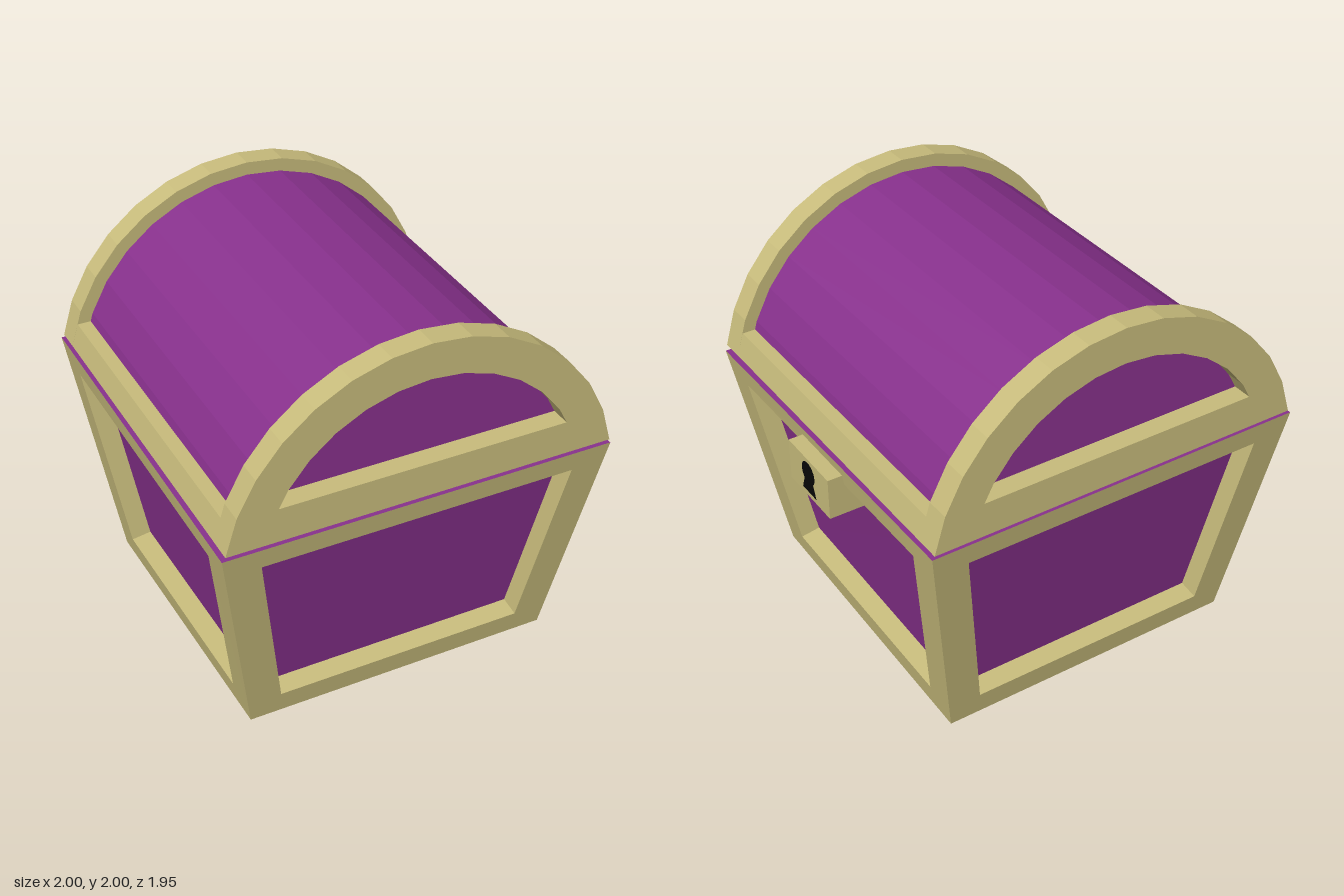
import * as THREE from 'three';

const gold = new THREE.MeshStandardMaterial({ color: 0xc8bc7c, flatShading: true });
const purple = new THREE.MeshStandardMaterial({ color: 0x88318d, flatShading: true });
const black = new THREE.MeshStandardMaterial({ color: 0x080808 });

const STEP = Math.PI / 16;   // lid arc is part of a 32-sided circle
const ARC_Y = -0.189;        // arc centre, below the lid's underside
const HALF_Z = 0.97;

function add(parent, name, geometry, material, x = 0, y = 0, z = 0) {
  const mesh = new THREE.Mesh(geometry, material);
  mesh.name = name;
  mesh.position.set(x, y, z);
  parent.add(mesh);
  return mesh;
}

// Arc points from right to left, cut off flat at height "cut"
function arcPoints(radius, cut) {
  const at = (i) => new THREE.Vector2(radius * Math.sin(i * STEP), ARC_Y + radius * Math.cos(i * STEP));
  const half = [];
  let i = 0;
  while (at(i).y > cut + 0.002) half.push(at(i++));
  const a = at(i - 1), b = at(i);
  half.push(a.clone().lerp(b, (a.y - cut) / (a.y - b.y)));
  const mirrored = half.slice(1).map((p) => new THREE.Vector2(-p.x, p.y));
  return [...half.reverse(), ...mirrored];
}

function extrude(shape, depth) {
  return new THREE.ExtrudeGeometry(shape, { depth, bevelEnabled: false });
}

function quads(list) {
  const pos = [];
  for (const [a, b, c, d] of list) for (const p of [a, b, c, a, c, d]) pos.push(p.x, p.y, p.z);
  const g = new THREE.BufferGeometry();
  g.setAttribute('position', new THREE.Float32BufferAttribute(pos, 3));
  g.computeVertexNormals();
  return g;
}

// One flared wall: border, reveals and a recessed panel. Corners run
// bottom left, bottom right, top right, top left as seen from outside.
function addWall(parent, name, [bl, br, tr, tl]) {
  const at = (u, v) => bl.clone().lerp(br, u).lerp(tl.clone().lerp(tr, u), v);
  const outer = [bl, br, tr, tl];
  const inner = [at(0.105, 0.1), at(0.895, 0.1), at(0.91, 0.907), at(0.09, 0.907)];
  const normal = br.clone().sub(bl).cross(tl.clone().sub(bl)).normalize();
  const deep = inner.map((p) => p.clone().addScaledVector(normal, -0.1));
  const faces = [];
  for (let i = 0; i < 4; i++) {
    const j = (i + 1) % 4;
    faces.push([outer[i], outer[j], inner[j], inner[i]], [inner[i], inner[j], deep[j], deep[i]]);
  }
  add(parent, name + 'Frame', quads(faces), gold);
  add(parent, name + 'Panel', quads([deep]), purple);
}

function createBase() {
  const base = new THREE.Group();
  base.name = 'base';
  // Corners in order: front left of picture, front right, back right, back left
  const ring = (half, zf, zb, yf, yb) => [
    new THREE.Vector3(-half, yf, zf), new THREE.Vector3(half, yf, zf),
    new THREE.Vector3(half, yb, zb), new THREE.Vector3(-half, yb, zb),
  ];
  const low = ring(0.777, 0.772, -0.785, 0.045, 0);
  const high = ring(0.965, 0.962, -0.972, 1.17, 1.21);
  ['front', 'left', 'back', 'right'].forEach((name, i) => {
    const j = (i + 1) % 4;
    addWall(base, name, [low[i], low[j], high[j], high[i]]);
  });
  add(base, 'baseTop', quads([high]), purple);
  add(base, 'baseBottom', quads([[...low].reverse()]), purple);
  return base;
}

function createLid() {
  const lid = new THREE.Group();
  lid.name = 'lid';
  // Arched end frames
  const arch = new THREE.Shape(arcPoints(0.97, 0));
  arch.holes.push(new THREE.Path(arcPoints(0.795, 0.17).reverse()));
  const archGeometry = extrude(arch, 0.12);
  add(lid, 'frontArch', archGeometry, gold, 0, 0, HALF_Z - 0.12);
  add(lid, 'backArch', archGeometry, gold, 0, 0, -HALF_Z);
  // Inner dome, its ends forming the recessed end panels
  add(lid, 'dome', extrude(new THREE.Shape(arcPoints(0.905, 0.01)), 1.74), purple, 0, 0, -0.87);
  // Lower side bars
  for (const s of [1, -1]) {
    const bar = new THREE.Shape([[0.951, 0], [0.916, 0.115], [0.78, 0.115], [0.78, 0]]
      .map(([x, y]) => new THREE.Vector2(s * x, y)));
    add(lid, s > 0 ? 'leftBar' : 'rightBar', extrude(bar, 1.72), gold, 0, 0, -0.86);
  }
  // Underside
  const under = add(lid, 'lidUnderside', new THREE.PlaneGeometry(1.9, 2 * HALF_Z), purple, 0, -0.001, 0);
  under.rotation.x = Math.PI / 2;
  lid.position.y = 1.21;
  lid.rotation.x = 0.0145;
  return lid;
}

function createLock() {
  const lock = new THREE.Group();
  lock.name = 'lock';
  add(lock, 'lockPlate', new THREE.BoxGeometry(0.26, 0.215, 0.37), gold, -0.13, 0, 0);
  // Keyhole: round top with a flared slot
  const slot = new THREE.Shape([[-0.065, -0.08], [0.065, -0.08], [0.028, 0.02], [-0.028, 0.02]]
    .map(([x, y]) => new THREE.Vector2(x, y)));
  const hole = add(lock, 'keyholeSlot', new THREE.ShapeGeometry(slot), black, 0.002, 0, 0);
  const round = add(lock, 'keyholeRound', new THREE.CircleGeometry(0.06, 24), black, 0.003, 0.033, 0);
  hole.rotation.y = round.rotation.y = Math.PI / 2;
  lock.position.set(1.03, 1.032, 0);
  return lock;
}

export function createModel() {
  const chest = new THREE.Group();
  chest.name = 'chest';
  const body = new THREE.Group();
  body.name = 'chestBody';
  body.add(createBase(), createLid(), createLock());
  body.position.x = -0.033;
  chest.add(body);
  return chest;
}
